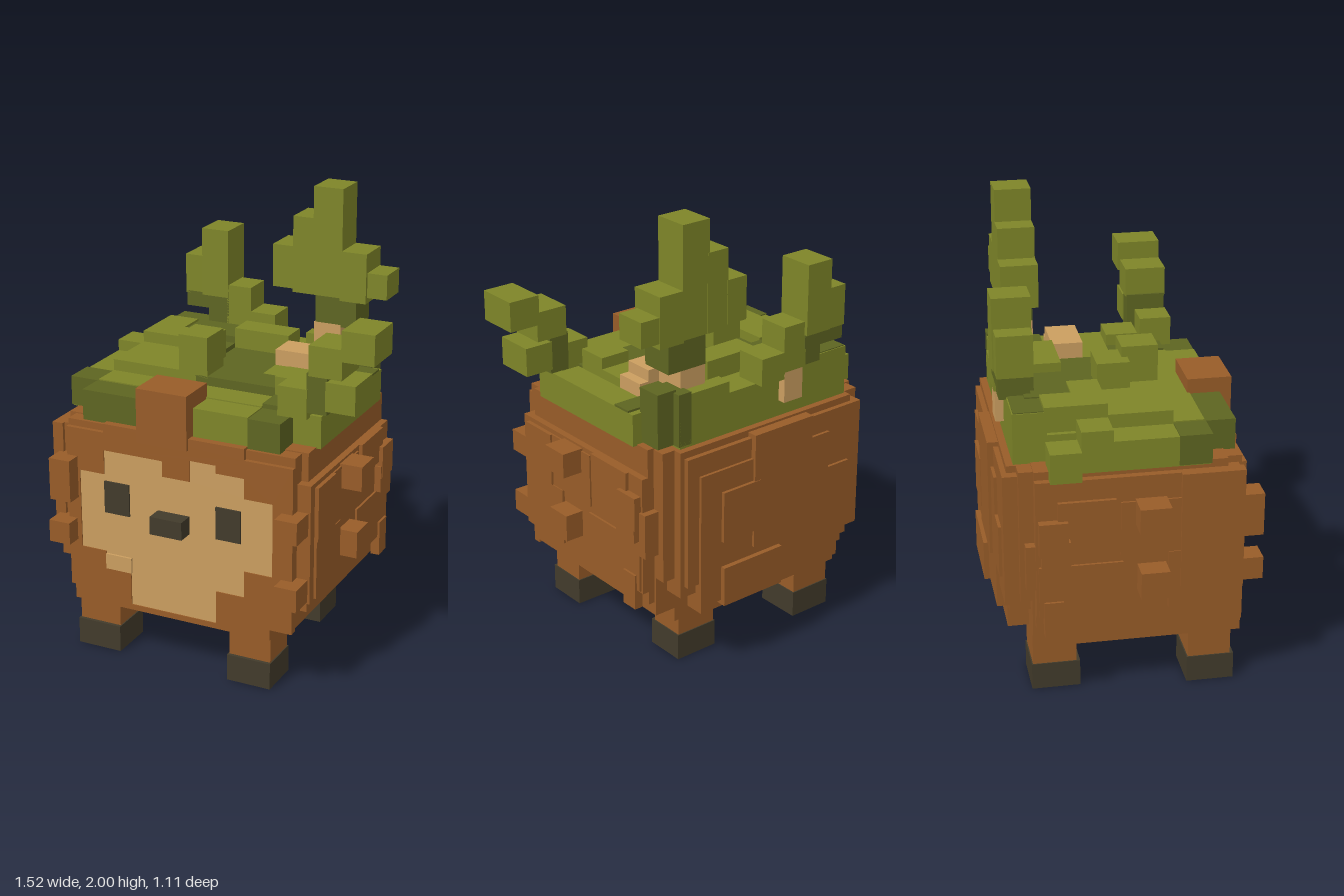
import * as THREE from 'three';

const paint = (name, color) => {
  const m = new THREE.MeshStandardMaterial({ color });
  m.name = name;
  return m;
};

export function createModel() {
  const fur = paint('brown fur', 0x985c28);
  const tan = paint('tan skin and bark', 0xcb9e60);
  const dark = paint('dark hoof', 0x423b2b);
  const leaf = paint('leaf green', 0x7e8528);
  const shade = paint('deep moss green', 0x5e6521);
  const model = new THREE.Group();
  model.name = 'mossyCreature';

  // Each block is x0, x1, y0, y1, z0, z1
  const blocks = (name, material, list) => {
    const group = new THREE.Group();
    group.name = name;
    for (const [x0, x1, y0, y1, z0, z1] of list) {
      const mesh = new THREE.Mesh(new THREE.BoxGeometry(x1 - x0, y1 - y0, z1 - z0), material);
      mesh.position.set((x0 + x1) / 2, (y0 + y1) / 2, (z0 + z1) / 2);
      mesh.name = name + 'Block';
      group.add(mesh);
    }
    model.add(group);
  };

  // Body core with stepped edges and corners
  blocks('body', fur, [
    [-0.57, 0.37, 0.235, 0.4, -0.41, 0.46],
    [-0.46, 0.3, 0.285, 0.45, -0.5, 0.465],
    [-0.59, 0.47, 0.3, 1.07, -0.41, 0.465],
    [-0.53, 0.41, 0.4, 1.07, -0.5, 0.4],
    [-0.6, 0.47, 0.48, 1.07, -0.46, 0.4],
    [-0.62, 0.5, 0.36, 1.075, -0.4, 0.4],
    [-0.65, 0.4, 0.42, 1.04, -0.4, 0.45],
    [0.3, 0.53, 0.42, 0.95, -0.4, 0.44],
  ]);

  // Shaggy side plates and knobs, on both flanks
  const sidePlates = [
    // y0, y1, z0, z1, depth past the flank
    [0.69, 0.93, 0.22, 0.4, 0.018],
    [0.8, 0.95, -0.31, -0.07, 0.015],
    [0.43, 0.69, 0.15, 0.4, 0.012],
    [0.43, 0.66, -0.39, -0.04, 0.01],
    [0.69, 0.93, -0.05, 0.22, 0.008],
    [0.72, 0.87, -0.39, -0.27, 0.033],
    [0.34, 0.5, -0.37, -0.29, 0.02],
    [0.52, 0.64, 0.02, 0.14, 0.085],
    [0.66, 0.78, -0.38, -0.26, 0.03],
    [0.83, 0.94, 0.01, 0.14, 0.1],
  ];
  for (const s of [-1, 1]) {
    blocks(s < 0 ? 'rightFlankFur' : 'leftFlankFur', fur, sidePlates.map(([y0, y1, z0, z1, d]) =>
      s < 0 ? [-0.65 - d * 1.1, -0.63, y0, y1, z0, z1] : [0.51, 0.53 + d, y0, y1, z0, z1]));
  }
  blocks('rightShoulderFur', fur, [[-0.67, -0.62, 0.5, 1.04, 0.2, 0.465]]);

  // Overlapping fur plates on the back
  blocks('backFur', fur, [
    [-0.57, 0.39, 0.45, 1.04, -0.522, -0.45],
    [-0.38, 0.33, 0.34, 0.95, -0.535, -0.48],
    [-0.27, 0.05, 0.54, 1.06, -0.547, -0.48],
    [-0.1, 0.22, 0.32, 0.5, -0.557, -0.48],
    [0.02, 0.22, 0.62, 0.85, -0.55, -0.48],
    [-0.5, -0.32, 0.55, 0.78, -0.535, -0.48],
    [-0.64, -0.59, 0.55, 0.75, -0.44, -0.39],
    [0.46, 0.54, 0.6, 0.8, -0.43, -0.39],
  ]);

  // Front corner tufts and forehead lock
  blocks('frontTufts', fur, [
    [-0.64, -0.54, 0.72, 0.91, 0.42, 0.555],
    [-0.65, -0.55, 0.52, 0.62, 0.42, 0.555],
    [0.42, 0.52, 0.73, 0.83, 0.42, 0.555],
    [0.42, 0.52, 0.43, 0.53, 0.42, 0.555],
  ]);
  blocks('foreheadLock', fur, [[-0.24, -0.005, 1.03, 1.27, 0.31, 0.5]]);

  // Stepped face, with the fur frame cut around it
  const outline = pts => pts.map(p => new THREE.Vector2(...p));
  const facePts = outline([
    [-0.29, 0.26], [0.12, 0.26], [0.12, 0.41], [0.25, 0.41], [0.25, 0.53], [0.38, 0.53],
    [0.38, 0.86], [0.25, 0.86], [0.25, 0.95], [0.12, 0.95], [0.12, 0.985], [0, 0.985],
    [0, 0.89], [-0.13, 0.89], [-0.13, 0.96], [-0.41, 0.96], [-0.41, 0.85], [-0.53, 0.85],
    [-0.53, 0.49], [-0.41, 0.49], [-0.41, 0.41], [-0.29, 0.41]]);
  const frame = new THREE.Shape(outline([
    [-0.57, 0.235], [0.37, 0.235], [0.37, 0.285], [0.47, 0.285], [0.47, 1.03], [0.25, 1.03],
    [0.25, 1.08], [-0.41, 1.08], [-0.41, 1.04], [-0.59, 1.04], [-0.59, 0.3], [-0.57, 0.3]]));
  frame.holes.push(new THREE.Path(facePts));
  const extrude = (name, shape, depth, z, material) => {
    const mesh = new THREE.Mesh(new THREE.ExtrudeGeometry(shape, { depth, bevelEnabled: false }), material);
    mesh.position.z = z;
    mesh.name = name;
    model.add(mesh);
  };
  extrude('faceFur', frame, 0.035, 0.45, fur);
  extrude('face', new THREE.Shape(facePts), 0.025, 0.455, tan);
  blocks('cheek', tan, [[-0.41, -0.285, 0.41, 0.48, 0.47, 0.49]]);
  blocks('eyes', dark, [
    [-0.41, -0.29, 0.675, 0.82, 0.479, 0.488],
    [0.12, 0.235, 0.655, 0.8, 0.479, 0.488],
  ]);
  blocks('nose', dark, [[-0.155, -0.005, 0.65, 0.73, 0.46, 0.555]]);

  // Four legs with hooves, in a slightly uneven stance
  for (const [x0, x1, z0, z1] of [
    [-0.575, -0.367, 0.255, 0.46],
    [0.168, 0.37, 0.288, 0.48],
    [-0.52, -0.315, -0.408, -0.2],
    [0.11, 0.315, -0.365, -0.18],
  ]) {
    blocks('leg', fur, [[x0 + 0.005, x1 - 0.005, 0.1, 0.32, z0 + 0.005, z1 - 0.015]]);
    blocks('hoof', dark, [[x0, x1, 0, 0.12, z0, z1]]);
  }

  // Moss on the back, built up in layers
  blocks('mossLayer', leaf, [
    [-0.65, 0.39, 1.07, 1.2, -0.21, 0.32],
    [-0.52, 0.39, 1.07, 1.19, -0.47, 0.43],
    [0.38, 0.52, 1.07, 1.21, -0.33, 0.325],
    [-0.65, -0.38, 1.2, 1.25, -0.21, -0.08],
    [-0.52, -0.26, 1.2, 1.31, -0.21, -0.08],
    [-0.52, -0.12, 1.19, 1.26, -0.08, 0.19],
    [-0.26, -0.11, 1.2, 1.375, -0.08, 0.06],
    [-0.52, 0.25, 1.17, 1.21, 0.19, 0.32],
    [0, 0.25, 1.07, 1.205, 0.3, 0.45],
    [0.13, 0.39, 1.19, 1.25, -0.08, 0.05],
    [0.25, 0.39, 1.19, 1.3, 0.05, 0.19],
    [-0.2, -0.065, 1.2, 1.42, 0.035, 0.19],
    [-0.13, 0.13, 1.2, 1.34, -0.33, -0.21],
    [-0.67, -0.54, 1.04, 1.17, -0.34, -0.21],
    [-0.52, -0.38, 1.2, 1.31, -0.34, -0.21],
  ]);
  blocks('deepMoss', shade, [
    [-0.655, -0.515, 1.075, 1.205, 0.19, 0.325],
    [-0.525, -0.24, 1.07, 1.205, 0.3, 0.45],
    [0.25, 0.395, 1.07, 1.2, 0.3, 0.45],
    [-0.38, -0.13, 1.18, 1.3, -0.4, -0.21],
    [-0.26, -0.13, 1.19, 1.27, -0.21, -0.08],
    [-0.13, 0.13, 1.19, 1.25, -0.21, 0.19],
    [0.13, 0.25, 1.19, 1.25, 0.05, 0.19],
    [0.39, 0.52, 1.21, 1.219, -0.3, -0.21],
    [0.25, 0.39, 1.19, 1.22, 0.19, 0.31],
    [0.33, 0.395, 1.08, 1.31, -0.47, -0.33],
    [0.38, 0.475, 1.08, 1.32, -0.435, -0.32],
    [-0.515, -0.13, 1.285, 1.294, -0.465, -0.34],
  ]);
  // Raised rim along the rear edge
  blocks('rearMoss', leaf, [
    [-0.52, -0.13, 1.08, 1.29, -0.47, -0.33],
    [-0.13, 0.13, 1.08, 1.25, -0.47, -0.33],
    [0.13, 0.34, 1.08, 1.3, -0.47, -0.4],
  ]);

  // Bark stems
  blocks('stems', tan, [
    [0.13, 0.345, 1.2, 1.32, -0.21, -0.075],
    [0.34, 0.39, 1.2, 1.27, -0.21, -0.075],
    [0.22, 0.345, 1.22, 1.4, -0.42, -0.28],
    [-0.24, -0.14, 1.14, 1.285, -0.505, -0.4],
  ]);

  // Tall rear bush
  blocks('tallBush', leaf, [
    [0.21, 0.345, 1.52, 2, -0.435, -0.28],
    [0.115, 0.22, 1.52, 1.86, -0.437, -0.28],
    [0.34, 0.46, 1.51, 1.73, -0.435, -0.275],
    [0.02, 0.12, 1.535, 1.725, -0.44, -0.28],
    [0.45, 0.55, 1.535, 1.645, -0.43, -0.29],
  ]);
  blocks('tallBushBase', shade, [[0.225, 0.415, 1.39, 1.52, -0.43, -0.28]]);

  // Small rear bush
  blocks('smallBush', leaf, [
    [-0.37, -0.24, 1.42, 1.73, -0.525, -0.365],
    [-0.455, -0.365, 1.42, 1.6, -0.52, -0.37],
    [-0.25, -0.13, 1.28, 1.48, -0.51, -0.37],
    [-0.135, -0.01, 1.25, 1.37, -0.51, -0.37],
  ]);
  blocks('smallBushBase', shade, [
    [-0.45, -0.24, 1.36, 1.43, -0.515, -0.37],
    [-0.34, -0.24, 1.28, 1.37, -0.5, -0.37],
  ]);

  // Side sprig
  blocks('sideSprig', leaf, [
    [0.615, 0.757, 1.47, 1.6, 0.17, 0.36],
    [0.475, 0.62, 1.39, 1.52, 0.18, 0.36],
    [0.55, 0.68, 1.25, 1.375, 0.18, 0.36],
    [0.34, 0.47, 1.2, 1.33, 0.22, 0.36],
  ]);
  blocks('sideSprigStem', shade, [[0.465, 0.555, 1.23, 1.4, 0.185, 0.355]]);

  return model;
}
